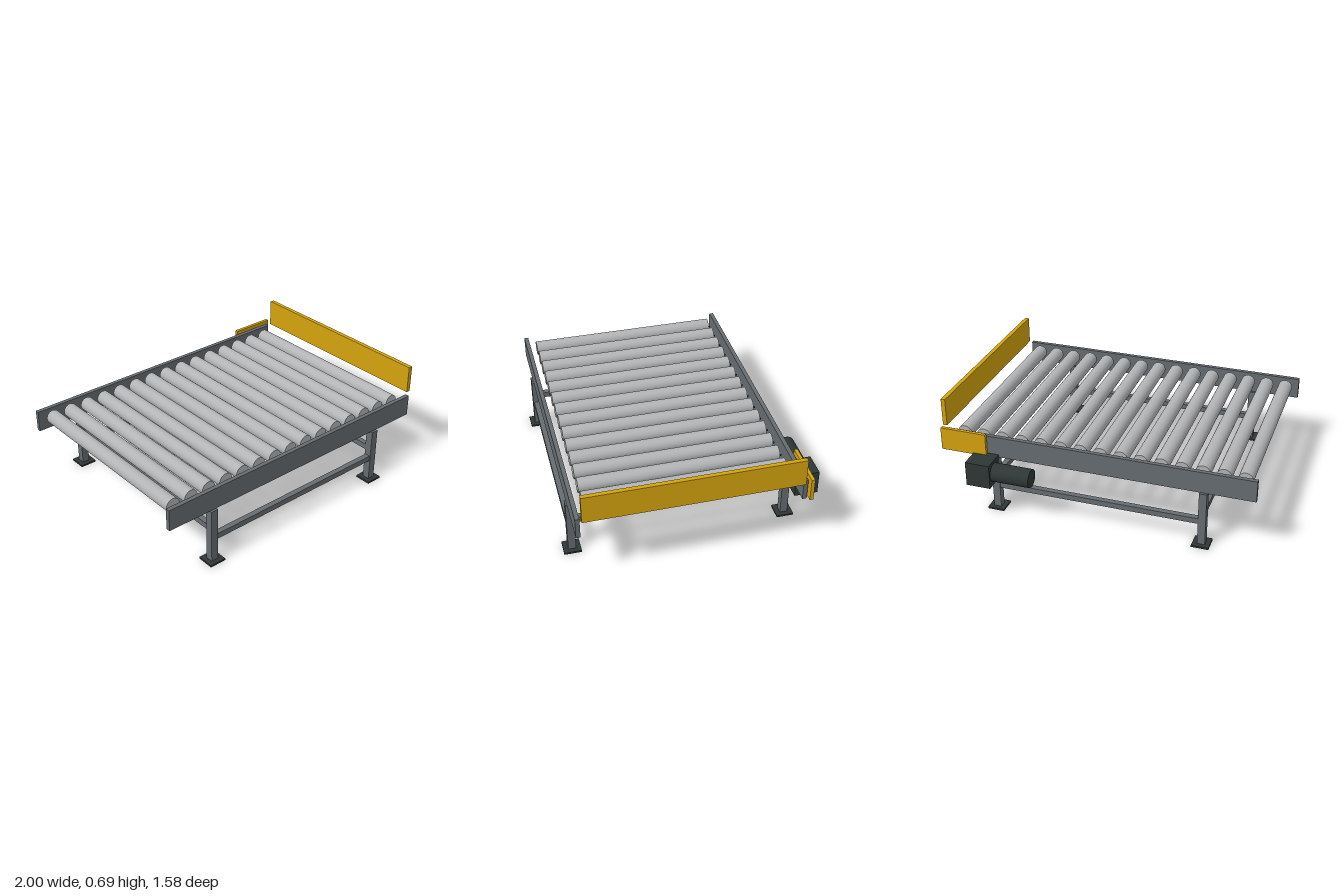
import * as THREE from 'three';

export function createModel() {
  const model = new THREE.Group();
  model.name = 'rollerConveyor';

  const paint = (name, color) => {
    const m = new THREE.MeshStandardMaterial({ color });
    m.name = name;
    return m;
  };
  const steel = paint('frameGrey', 0x666c71);
  const rollerSteel = paint('rollerGrey', 0xb2b4b6);
  const dark = paint('motorDark', 0x2e3735);
  const yellow = paint('safetyYellow', 0xd4a30e);

  const add = (name, geometry, material, x, y, z) => {
    const mesh = new THREE.Mesh(geometry, material);
    mesh.name = name;
    mesh.position.set(x, y, z);
    model.add(mesh);
    return mesh;
  };
  // Box given by its lower and upper limits on each axis
  const box = (name, material, [x0, x1], [y0, y1], [z0, z1]) =>
    add(name, new THREE.BoxGeometry(x1 - x0, y1 - y0, z1 - z0), material,
      (x0 + x1) / 2, (y0 + y1) / 2, (z0 + z1) / 2);
  const around = (c, width) => [c - width / 2, c + width / 2];

  const legX = [-0.686, 0.639];
  const sides = [['front', 0.735], ['back', -0.624]];

  // Side rails, legs, feet and lengthwise braces
  for (const [side, z] of sides) {
    box(side + 'Rail', steel, [-1, 0.955], [0.368, 0.506], around(z, 0.027));
    box(side + 'Brace', steel, legX, [0.149, 0.185], around(z, 0.036));
    for (const x of legX) {
      box(side + 'Leg', steel, around(x, 0.048), [0.01, 0.365], around(z, 0.048));
      box(side + 'Foot', dark, around(x, 0.108), [0, 0.012], around(z, 0.108));
    }
  }

  // Cross braces between front and back legs
  for (const x of legX) {
    box('crossBrace', steel, around(x, 0.036), [0.214, 0.25], [-0.624, 0.735]);
  }

  // Rollers with a small pin at the back end
  const rollerGeometry = new THREE.CylinderGeometry(0.046, 0.046, 1.246, 32).rotateX(Math.PI / 2);
  const pinGeometry = new THREE.CylinderGeometry(0.006, 0.006, 0.014, 10).rotateX(Math.PI / 2);
  for (let i = 0; i < 15; i++) {
    const x = -0.917 + i * 0.1275;
    add('roller', rollerGeometry, rollerSteel, x, 0.464, 0.053);
    add('rollerPin', pinGeometry, dark, x + 0.03, 0.466, -0.576);
  }

  // Drive motor and gearbox behind the back rail
  box('gearbox', dark, [0.613, 0.77], [0.229, 0.388], [-0.79, -0.641]);
  add('motor', new THREE.CylinderGeometry(0.059, 0.059, 0.25, 32).rotateZ(Math.PI / 2),
    dark, 0.49, 0.31, -0.72);

  // Yellow end stop and drive guard
  box('endStop', yellow, [0.97, 0.998], [0.515, 0.694], [-0.606, 0.716]);
  box('driveGuard', yellow, [0.685, 0.985], [0.378, 0.527], [-0.667, -0.645]);

  return model;
}
